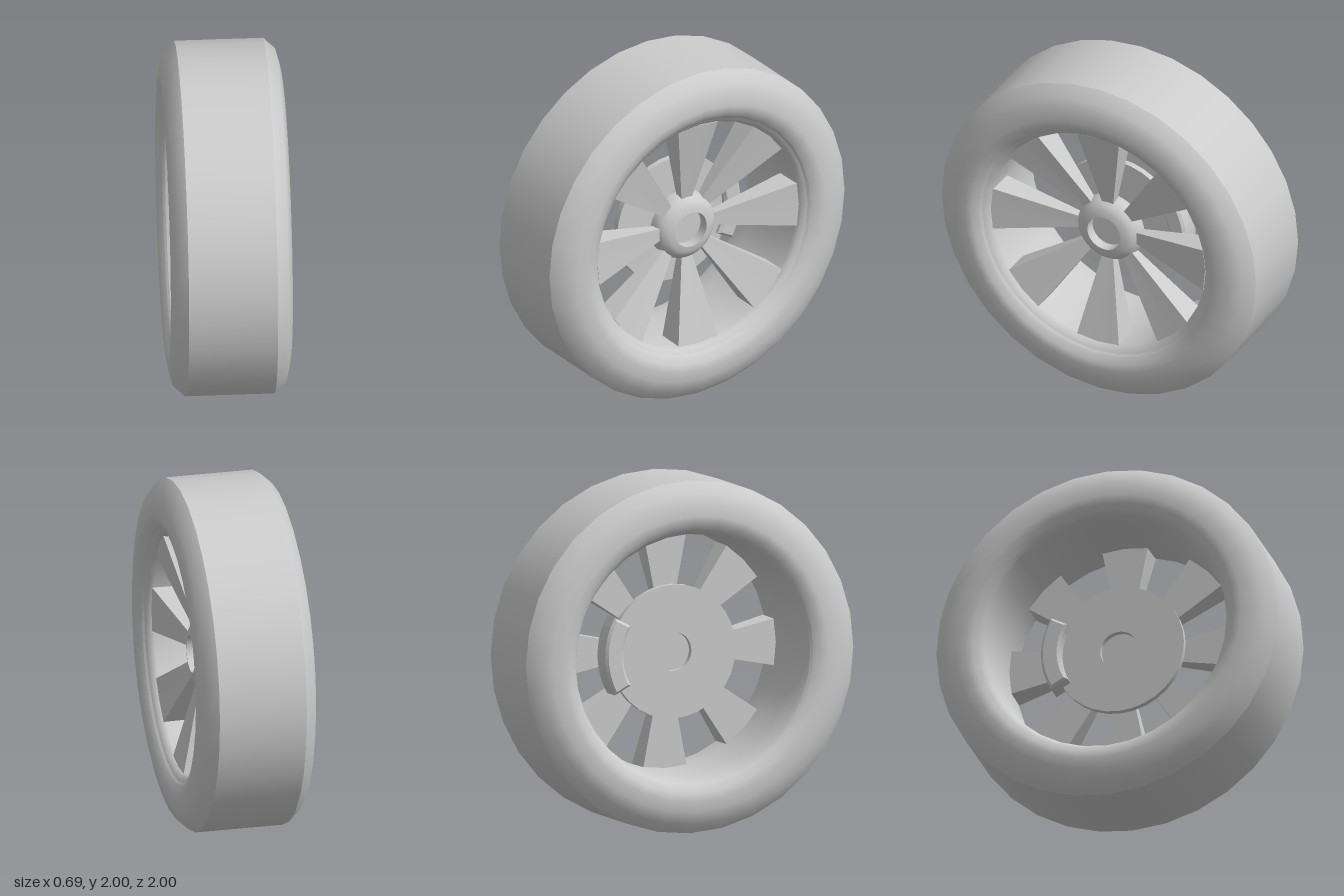
import * as THREE from 'three';

const SEGMENTS = 32;
const material = new THREE.MeshStandardMaterial({ color: 0xcccccc });

export function createModel() {
  const wheel = new THREE.Group();
  wheel.name = 'wheel';
  wheel.position.y = 1;

  const add = (parent, name, geometry) => {
    const mesh = new THREE.Mesh(geometry, material);
    mesh.name = name;
    parent.add(mesh);
    return mesh;
  };
  const group = (name) => {
    const g = new THREE.Group();
    g.name = name;
    wheel.add(g);
    return g;
  };
  // Ring turned about the x axle from [radius, x] pairs
  const turn = (points) =>
    new THREE.LatheGeometry(points.map(([r, x]) => new THREE.Vector2(r, x)), SEGMENTS)
      .rotateZ(-Math.PI / 2);

  // Tyre: flat tread and two rounded sidewalls
  const tyre = group('tyre');
  const wall = [[1, 0.25], [0.94, 0.315], [0.87, 0.333], [0.81, 0.343], [0.765, 0.335], [0.73, 0.308]];
  add(tyre, 'tread', turn([[1, -0.25], [1, 0.25]]));
  add(tyre, 'outerSidewall', turn(wall));
  add(tyre, 'innerSidewall', turn(wall.map(([r, x]) => [r, -x]).reverse()));

  // Rim: lips and the barrel lining the tyre
  const rim = group('rim');
  add(rim, 'outerLip', turn([[0.73, 0.308], [0.718, 0.295]]));
  add(rim, 'barrel', turn([[0.718, 0.295], [0.695, 0.28], [0.68, 0.25], [0.677, 0.1],
    [0.685, -0.15], [0.7, -0.26], [0.718, -0.295]]));
  add(rim, 'innerLip', turn([[0.718, -0.295], [0.73, -0.308]]));

  // Spokes: radial wedges that thicken toward the rim
  const spokes = group('spokes');
  const spokeGeometry = new THREE.BoxGeometry(1, 1, 1, 1, 1, 2);
  const p = spokeGeometry.attributes.position;
  for (let i = 0; i < p.count; i++) {
    const t = p.getY(i) + 0.5;
    const r = THREE.MathUtils.lerp(0.17, 0.682, t);
    const a = p.getZ(i) * Math.PI / 8;
    const x = p.getX(i) < 0 ? 0.1 : THREE.MathUtils.lerp(0.145, 0.262, t);
    p.setXYZ(i, x, r * Math.cos(a), r * Math.sin(a));
  }
  spokeGeometry.computeVertexNormals();
  for (let i = 0; i < 8; i++) {
    add(spokes, 'spoke', spokeGeometry).rotation.x = i * Math.PI / 4;
  }

  // Hub: dome with a round recess in its face
  const hub = group('hub');
  add(hub, 'dome', turn([[0.2, 0.08], [0.2, 0.115], [0.19, 0.145], [0.168, 0.17], [0.14, 0.186], [0.105, 0.192]]));
  add(hub, 'recessWall', turn([[0.105, 0.192], [0.105, 0.13]]));
  add(hub, 'recessFloor', turn([[0.105, 0.13], [0, 0.13]]));
  add(hub, 'hubBack', turn([[0, 0.08], [0.2, 0.08]]));

  // Brake disc with a centre hole
  const disc = group('brakeDisc');
  const corners = [[0.38, -0.02], [0.38, 0.015], [0.11, 0.015], [0.11, -0.02]];
  ['discEdge', 'discFront', 'discBore', 'discBack'].forEach((name, i) =>
    add(disc, name, turn([corners[i], corners[(i + 1) % 4]])));

  // Brake caliper: bevelled arc clamped over the rear of the disc
  const arc = new THREE.Shape();
  arc.absarc(0, 0, 0.425, -0.49, 0.49, false);
  arc.absarc(0, 0, 0.345, 0.49, -0.49, true);
  arc.closePath();
  add(wheel, 'brakeCaliper', new THREE.ExtrudeGeometry(arc, {
    depth: 0.11, curveSegments: 5, bevelThickness: 0.015, bevelSize: 0.015, bevelSegments: 1,
  }).translate(0, 0, -0.075).rotateY(Math.PI / 2));

  const model = new THREE.Group();
  model.name = 'wheelModel';
  model.add(wheel);
  return model;
}
